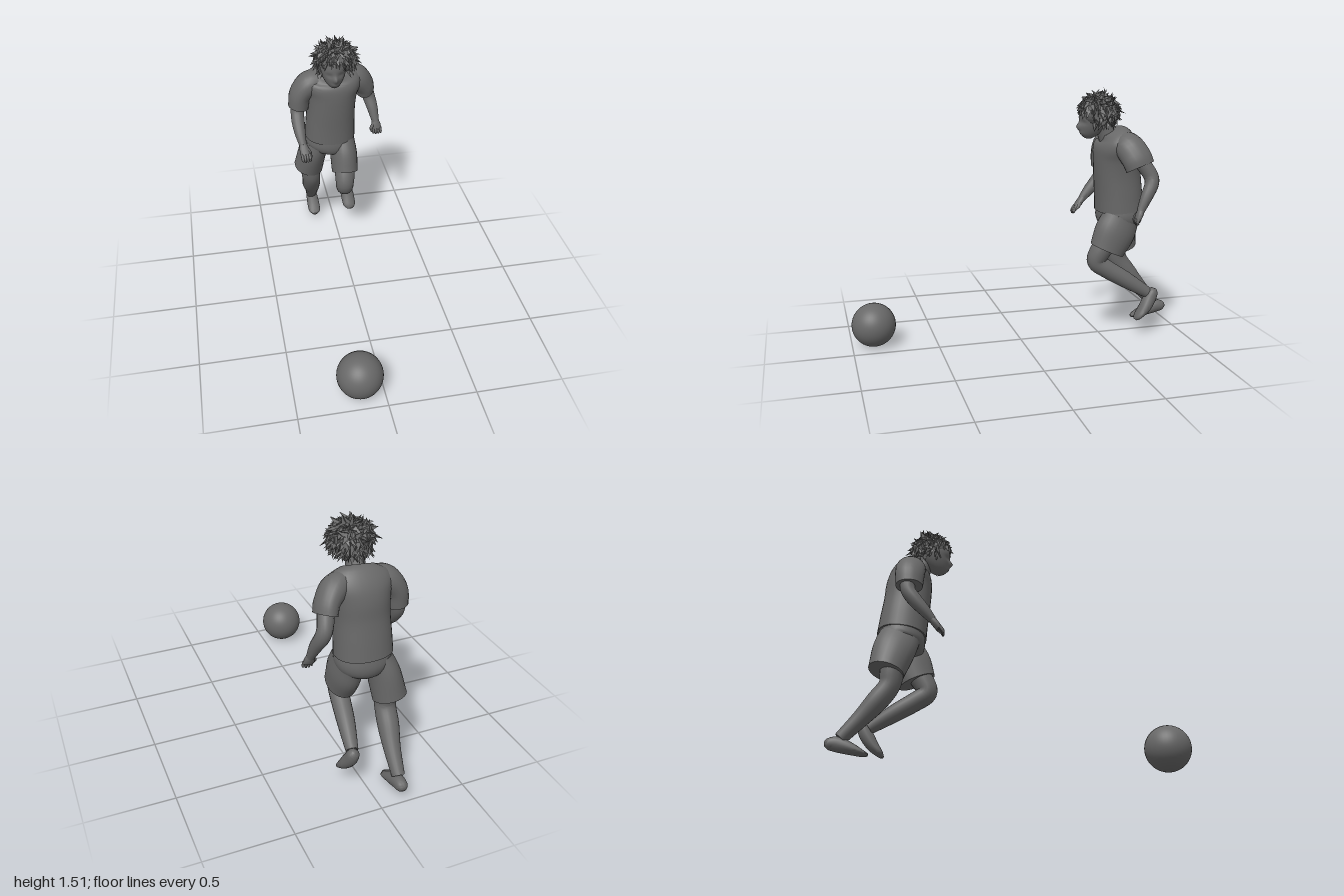
import * as THREE from 'three';
import { mergeGeometries, toCreasedNormals } from 'three/addons/utils/BufferGeometryUtils.js';

const grey = new THREE.MeshStandardMaterial({ color: 0x686868, side: THREE.DoubleSide });
const flatGrey = new THREE.MeshStandardMaterial({ color: 0x686868, side: THREE.DoubleSide, flatShading: true });

// Smooth capped tube through sections [x, y, z, halfWidth, halfDepth]; square < 1 makes it boxier
function loft(sections, sides = 20, square = 1, steps = 5) {
  const centre = new THREE.CatmullRomCurve3(sections.map(s => new THREE.Vector3(s[0], s[1], s[2])), false, 'catmullrom');
  const radius = new THREE.CatmullRomCurve3(sections.map(s => new THREE.Vector3(s[3], s[4] ?? s[3], 0)), false, 'catmullrom');
  const n = (sections.length - 1) * steps;
  const pos = [], index = [];
  const shape = v => Math.sign(v) * Math.abs(v) ** square;
  for (let i = 0; i <= n; i++) {
    const c = centre.getPoint(i / n), r = radius.getPoint(i / n), t = centre.getTangent(i / n);
    const u = new THREE.Vector3(1, 0, 0).addScaledVector(t, -t.x).normalize();
    const v = t.clone().cross(u);
    for (let j = 0; j < sides; j++) {
      const a = j / sides * Math.PI * 2;
      const p = c.clone().addScaledVector(u, shape(Math.cos(a)) * r.x).addScaledVector(v, shape(Math.sin(a)) * r.y);
      pos.push(p.x, p.y, p.z);
      if (i < n) {
        const k = (j + 1) % sides, a0 = i * sides + j, b0 = i * sides + k;
        index.push(a0, b0, a0 + sides, b0, b0 + sides, a0 + sides);
      }
    }
  }
  // end caps
  const first = centre.getPoint(0), last = centre.getPoint(1), m = pos.length / 3;
  pos.push(first.x, first.y, first.z, last.x, last.y, last.z);
  for (let j = 0; j < sides; j++) {
    const k = (j + 1) % sides;
    index.push(m, k, j, m + 1, n * sides + j, n * sides + k);
  }
  const g = new THREE.BufferGeometry();
  g.setAttribute('position', new THREE.Float32BufferAttribute(pos, 3));
  g.setIndex(index);
  return toCreasedNormals(g, 1);
}

function headGeometry() {
  const g = new THREE.SphereGeometry(1, 48, 40), p = g.attributes.position;
  const bump = (x, y, w, h) => Math.exp(-((x / w) ** 2) - (y / h) ** 2);
  for (let i = 0; i < p.count; i++) {
    let x = p.getX(i), y = p.getY(i), z = p.getZ(i);
    const front = Math.max(z, 0), k = Math.max(-y, 0);
    x *= 0.082 * (1 - 0.18 * k);
    z = z * 0.097 * (z < 0 ? 1 - 0.35 * k : 1) + 0.035 * k * k;
    y *= 0.125;
    if (front > 0.2) {
      z += 0.022 * bump(x, y + 0.052, 0.014, 0.022);           // nose
      z += 0.007 * bump(x, y + 0.09, 0.022, 0.01);             // lips
      z -= 0.009 * bump(Math.abs(x) - 0.033, y + 0.025, 0.02, 0.014); // eye sockets
    }
    p.setXYZ(i, x - 0.037, y + 1.335, z - 0.465);
  }
  g.computeVertexNormals();
  return g;
}

function hairGeometry() {
  let seed = 7;
  const rand = () => (seed = (seed * 16807) % 2147483647) / 2147483647 - 0.5;
  const c = new THREE.Vector3(-0.02, 1.372, -0.483), r = new THREE.Vector3(0.115, 0.092, 0.11);
  const cap = new THREE.SphereGeometry(1, 20, 14).scale(r.x, r.y, r.z).translate(c.x, c.y, c.z).toNonIndexed();
  const parts = [cap], count = 330, up = new THREE.Vector3(0, 1, 0);
  for (let i = 0; i < count; i++) {
    const y = 1 - 2 * (i + 0.5) / count, s = Math.sqrt(1 - y * y), a = i * 2.39996;
    const n = new THREE.Vector3(s * Math.cos(a), y, s * Math.sin(a));
    if (y < -0.75 || (n.z > 0.4 && y < 0)) continue;
    // locks lie tousled on the crown and hang down around the sides and fringe
    const hang = n.z > 0.4 ? 1.5 : 0.8;
    const d = n.clone().multiplyScalar(0.45);
    d.y -= hang * (1 - Math.max(y, 0));
    d.add(new THREE.Vector3(rand() * 1.1, rand() * 0.7, rand() * 1.1)).normalize();
    const len = 0.058 + 0.03 * rand();
    const lock = new THREE.ConeGeometry(0.022, len, 3).scale(1, 1, 0.6);
    lock.rotateY(rand() * 6).translate(0, len / 2 - 0.014, 0);
    lock.applyQuaternion(new THREE.Quaternion().setFromUnitVectors(up, d));
    const p = n.multiply(r).add(c);
    parts.push(lock.translate(p.x, p.y, p.z).toNonIndexed());
  }
  return mergeGeometries(parts);
}

// Palm, four curled fingers and a thumb; w = wrist, k = knuckles, f = fingertips, side = thumb direction
function handGeometry(w, k, f, side) {
  const mid = w.map((v, i) => (v + k[i]) / 2);
  const parts = [loft([[...w, 0.022, 0.02], [...mid, 0.03, 0.02], [...k, 0.032, 0.017]], 12)];
  for (let i = 0; i < 4; i++) {
    const o = (i - 1.5) * 0.0155, drop = Math.abs(i - 1.3) * 0.005;
    parts.push(loft([
      [k[0] + o, k[1] + 0.008, k[2], 0.0095],
      [(k[0] + f[0]) / 2 + o, (k[1] + f[1]) / 2, (k[2] + f[2]) / 2 + 0.008, 0.009],
      [f[0] + o, f[1] + drop, f[2], 0.005]], 8, 1, 3));
  }
  parts.push(loft([
    [mid[0] + side * 0.02, mid[1], mid[2] + 0.005, 0.012],
    [mid[0] + side * 0.035, mid[1] - 0.02, mid[2] + 0.015, 0.01],
    [k[0] + side * 0.034, k[1] - 0.015, k[2] + 0.015, 0.005]], 8, 1, 3));
  return mergeGeometries(parts);
}

export function createModel() {
  const model = new THREE.Group();
  const add = (name, geometry, material = grey) => {
    const m = new THREE.Mesh(geometry, material);
    m.name = name;
    model.add(m);
  };

  // ball
  add('ball', new THREE.SphereGeometry(0.13, 40, 28).translate(-0.135, 0.13, 0.87));

  // head
  add('head', headGeometry());
  add('hair', hairGeometry(), flatGrey);
  add('neck', loft([[-0.025, 1.18, -0.56, 0.06], [-0.028, 1.25, -0.53, 0.052], [-0.03, 1.33, -0.495, 0.052]]));

  // shirt
  add('shirt', loft([
    [-0.038, 0.78, -0.63, 0.16, 0.143], [-0.035, 0.88, -0.622, 0.156, 0.14],
    [-0.03, 1.0, -0.61, 0.152, 0.137], [-0.025, 1.1, -0.604, 0.16, 0.136],
    [-0.022, 1.17, -0.593, 0.178, 0.125], [-0.022, 1.22, -0.58, 0.162, 0.1],
    [-0.025, 1.255, -0.562, 0.085, 0.065]], 32, 0.9));
  add('rightSleeve', loft([
    [-0.07, 1.195, -0.59, 0.05, 0.06], [-0.16, 1.17, -0.595, 0.074, 0.085],
    [-0.222, 1.1, -0.6, 0.068, 0.085], [-0.238, 1.01, -0.6, 0.064, 0.078]]));
  add('leftSleeve', loft([
    [0.03, 1.2, -0.595, 0.05, 0.06], [0.12, 1.18, -0.615, 0.074, 0.085],
    [0.178, 1.12, -0.645, 0.066, 0.09], [0.196, 1.065, -0.665, 0.062, 0.088]]));

  // arms
  add('rightArm', loft([
    [-0.235, 1.06, -0.61, 0.045], [-0.245, 0.98, -0.605, 0.042], [-0.247, 0.92, -0.565, 0.041],
    [-0.243, 0.86, -0.51, 0.034], [-0.235, 0.805, -0.46, 0.023]], 16));
  add('leftArm', loft([
    [0.195, 1.1, -0.67, 0.046], [0.22, 1.02, -0.72, 0.043], [0.237, 0.97, -0.722, 0.041],
    [0.255, 0.9, -0.685, 0.035], [0.268, 0.82, -0.645, 0.023]], 16));
  add('rightHand', handGeometry([-0.235, 0.815, -0.468], [-0.225, 0.758, -0.42], [-0.22, 0.715, -0.395], 1));
  add('leftHand', handGeometry([0.267, 0.83, -0.65], [0.272, 0.775, -0.628], [0.275, 0.738, -0.622], -1));

  // shorts
  add('shortsSeat', loft([
    [-0.045, 0.655, -0.635, 0.05, 0.08], [-0.042, 0.685, -0.635, 0.125, 0.122],
    [-0.038, 0.735, -0.633, 0.158, 0.139], [-0.038, 0.81, -0.63, 0.15, 0.132]], 32, 0.95));
  add('rightShortsLeg', loft([
    [-0.115, 0.74, -0.64, 0.075, 0.118], [-0.147, 0.64, -0.667, 0.087, 0.12],
    [-0.174, 0.5, -0.7, 0.095, 0.102]], 24));
  add('leftShortsLeg', loft([
    [0.04, 0.735, -0.618, 0.078, 0.115], [0.043, 0.645, -0.578, 0.086, 0.128],
    [0.042, 0.538, -0.53, 0.084, 0.11]], 24));

  // rear supporting leg
  add('rightLeg', loft([
    [-0.165, 0.58, -0.665, 0.07], [-0.165, 0.49, -0.67, 0.066], [-0.162, 0.42, -0.68, 0.06],
    [-0.155, 0.33, -0.742, 0.06], [-0.142, 0.235, -0.82, 0.048], [-0.135, 0.12, -0.92, 0.036]]));
  add('rightFoot', loft([
    [-0.13, 0.088, -1.0, 0.015, 0.014], [-0.13, 0.09, -0.98, 0.032, 0.032], [-0.13, 0.088, -0.93, 0.038, 0.042],
    [-0.13, 0.066, -0.86, 0.042, 0.032], [-0.13, 0.044, -0.8, 0.038, 0.017], [-0.13, 0.036, -0.77, 0.015, 0.008]]));

  // raised leading leg
  add('leftLeg', loft([
    [0.044, 0.62, -0.555, 0.068], [0.035, 0.53, -0.49, 0.064], [0.03, 0.465, -0.47, 0.057],
    [0.04, 0.415, -0.535, 0.055], [0.058, 0.345, -0.65, 0.05], [0.083, 0.26, -0.785, 0.035]]));
  add('leftFoot', loft([
    [0.088, 0.285, -0.83, 0.015, 0.015], [0.09, 0.265, -0.82, 0.033, 0.032], [0.094, 0.22, -0.797, 0.04, 0.04],
    [0.102, 0.165, -0.76, 0.045, 0.034], [0.106, 0.12, -0.718, 0.04, 0.02], [0.106, 0.1, -0.7, 0.016, 0.009]]));

  return model;
}
